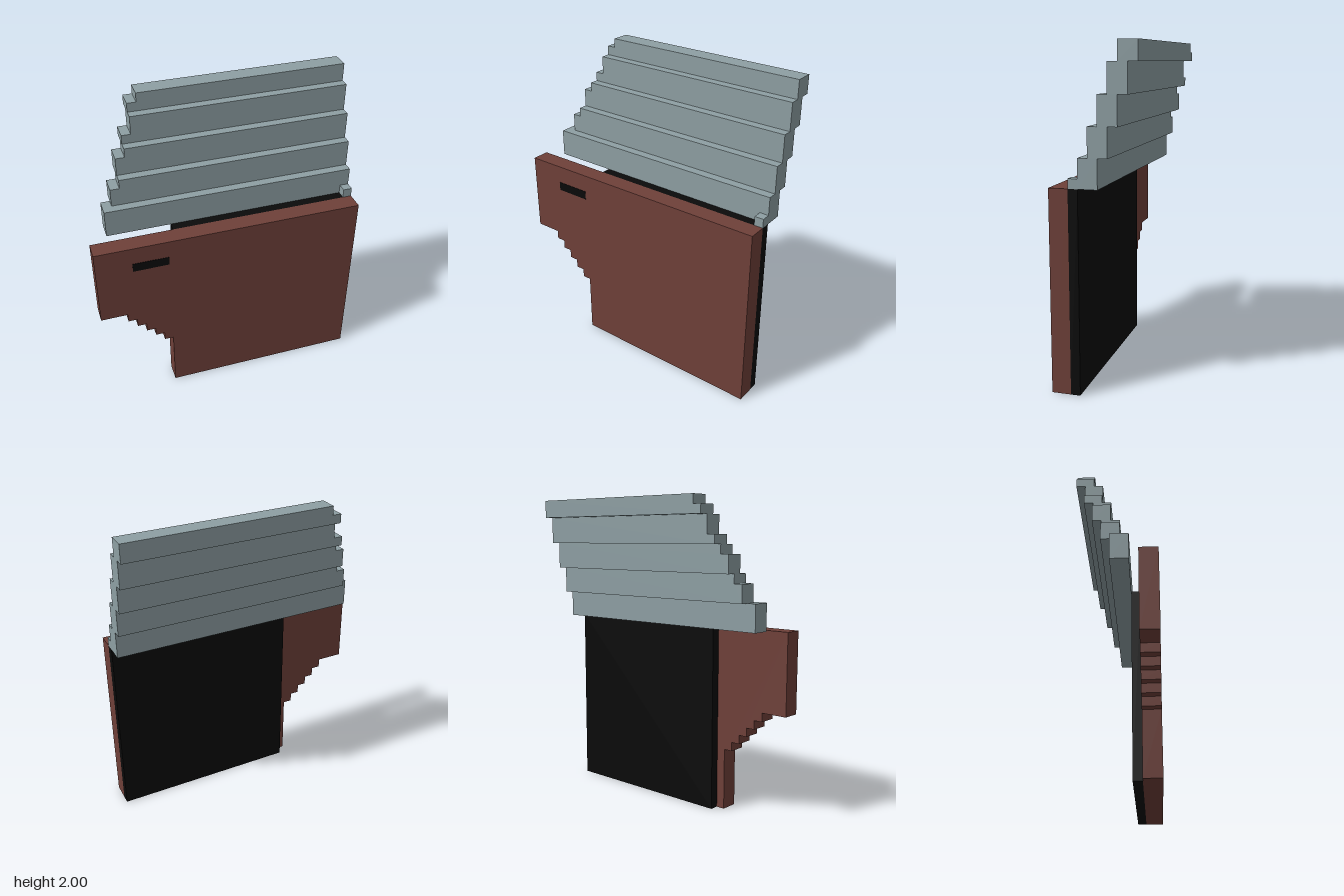
import * as THREE from 'three';

const U = 2 / 35; // one block

const material = (name, color) => {
  const m = new THREE.MeshStandardMaterial({ color });
  m.name = name;
  return m;
};

export function createModel() {
  const group = new THREE.Group();
  const paint = material('brown paint', 0x6f4039);
  const glass = material('grey glass', 0x8e9fa3);
  const black = material('black trim', 0x0a0a0a);

  const add = (name, geometry, mat) => {
    const mesh = new THREE.Mesh(geometry, mat);
    mesh.name = name;
    group.add(mesh);
  };

  // Extrude an outline given in blocks from z0 to z1
  const slab = (name, points, z0, z1, mat) => {
    const shape = new THREE.Shape(points.map(([x, y]) => new THREE.Vector2(x * U, y * U)));
    const geometry = new THREE.ExtrudeGeometry(shape, { depth: (z1 - z0) * U, bevelEnabled: false });
    add(name, geometry.translate(0, 0, z0 * U), mat);
  };
  const rect = (x0, y0, x1, y1) => [[x0, y0], [x1, y0], [x1, y1], [x0, y1]];

  // Outer door skin with a stepped wheel-arch cutout
  const outline = [[-7, 0], [15, 0], [15, 21], [-15, 21], [-15, 12]];
  for (let i = 0; i < 5; i++) outline.push([-12 + i, 12 - i], [-12 + i, 11 - i]);
  outline.push([-7, 7]);
  slab('doorPanel', outline, 2.5, 4.5, paint);

  // Inner lining
  slab('innerLining', rect(-6, 0, 15, 21), 1.5, 2.5, black);

  // Door handle, a thin plate on the outer skin
  slab('doorHandle', rect(-11, 18, -7, 19), 4.5, 4.54, black);

  // Window courses lean backwards: [bottom, step height, top, lower edge x, upper edge x]
  const courses = [
    [21, 24, 24, -13, -13],
    [24, 26, 27, -12, -11],
    [27, 29, 30, -11, -10],
    [30, 31, 33, -10, -9],
    [33, 34, 35, -9, -8],
  ];
  courses.forEach(([y0, ys, y1, xa, xb], i) => {
    const points = [[xa, y0], [15, y0], [15, y1]];
    if (ys < y1) points.push([xb, y1], [xb, ys], [xa, ys]);
    else points.push([xa, y1]);
    slab(`windowCourse${i + 1}`, points, -0.5 - i, 1.5 - i, glass);
  });

  // Small corner block at the foot of the window
  slab('windowCorner', rect(14, 21, 15, 22), 1.5, 2.5, glass);

  return group;
}
